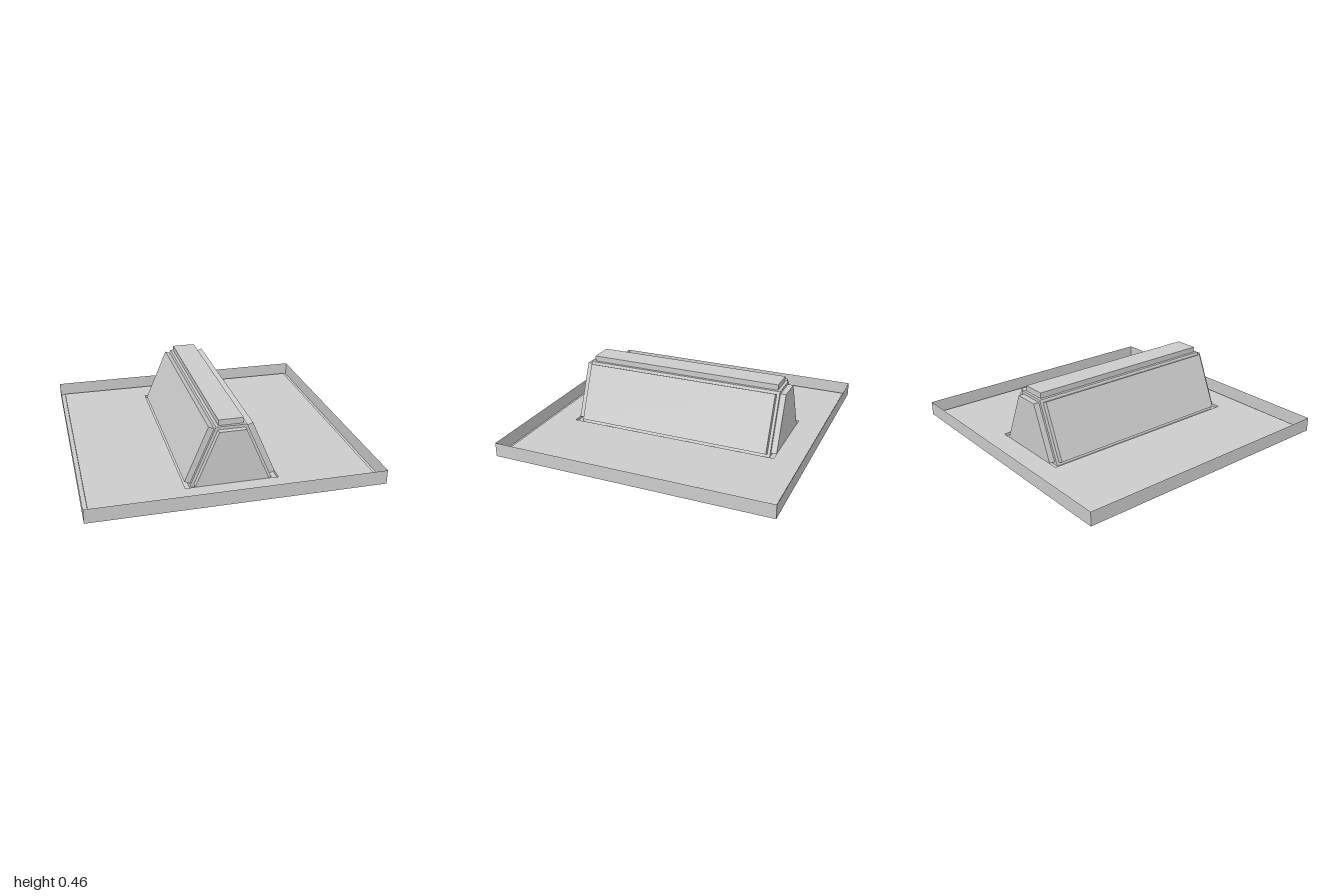
import * as THREE from 'three';

const material = new THREE.MeshStandardMaterial({
  color: 0xcccccc, flatShading: true, side: THREE.DoubleSide,
});

// Four corners of a horizontal rectangle, counter-clockwise from above.
const rect = (x, z, y) =>
  [[x, z], [x, -z], [-x, -z], [-x, z]].map(([a, b]) => new THREE.Vector3(a, y, b));

// Sheet joining four-cornered loops in order; optionally closes the last loop.
function sheet(name, loops, closed) {
  const pos = [];
  const quad = (a, b, c, d) => [a, b, c, a, c, d].forEach((p) => pos.push(p.x, p.y, p.z));
  for (let k = 0; k + 1 < loops.length; k++) {
    for (let i = 0; i < 4; i++) {
      const j = (i + 1) % 4;
      quad(loops[k][i], loops[k][j], loops[k + 1][j], loops[k + 1][i]);
    }
  }
  if (closed) quad(...loops[loops.length - 1]);
  const geometry = new THREE.BufferGeometry();
  geometry.setAttribute('position', new THREE.Float32BufferAttribute(pos, 3));
  geometry.computeVertexNormals();
  const mesh = new THREE.Mesh(geometry, material);
  mesh.name = name;
  return mesh;
}

// Face with a narrow border and a raised panel, hollow from behind.
function raisedPanel(name, corners, border, height) {
  const inner = corners.map((p, i) => {
    const a = corners[(i + 1) % 4].clone().sub(p).normalize();
    const b = corners[(i + 3) % 4].clone().sub(p).normalize();
    const sin = a.clone().cross(b).length();
    return a.add(b).multiplyScalar(border / sin).add(p);
  });
  const normal = corners[1].clone().sub(corners[0])
    .cross(corners[3].clone().sub(corners[0])).setLength(height);
  const outer = inner.map((p) => p.clone().add(normal));
  return sheet(name, [corners, inner, outer], true);
}

export function createModel() {
  const model = new THREE.Group();
  model.name = 'ridgeSkylight';

  // Tray: upright rim, low flange, raised floor, and flange round the opening
  model.add(sheet('tray', [
    rect(1, 1, 0.1), rect(1, 1, 0),
    rect(0.965, 0.965, 0), rect(0.965, 0.965, 0.02),
    rect(0.32, 0.775, 0.02), rect(0.32, 0.775, 0),
    rect(0.284, 0.735, 0),
  ], false));

  // Hollow ridge: four walls and a top, each with a raised panel
  const ridge = new THREE.Group();
  ridge.name = 'ridge';
  const base = rect(0.284, 0.735, 0);
  const crown = rect(0.105, 0.735, 0.42);
  ['leftSlope', 'backEnd', 'rightSlope', 'frontEnd'].forEach((name, i) => {
    const j = (i + 1) % 4;
    ridge.add(raisedPanel(name, [base[i], base[j], crown[j], crown[i]], 0.02, 0.04));
  });
  ridge.add(raisedPanel('ridgeCap', crown, 0.02, 0.04));
  model.add(ridge);

  return model;
}
